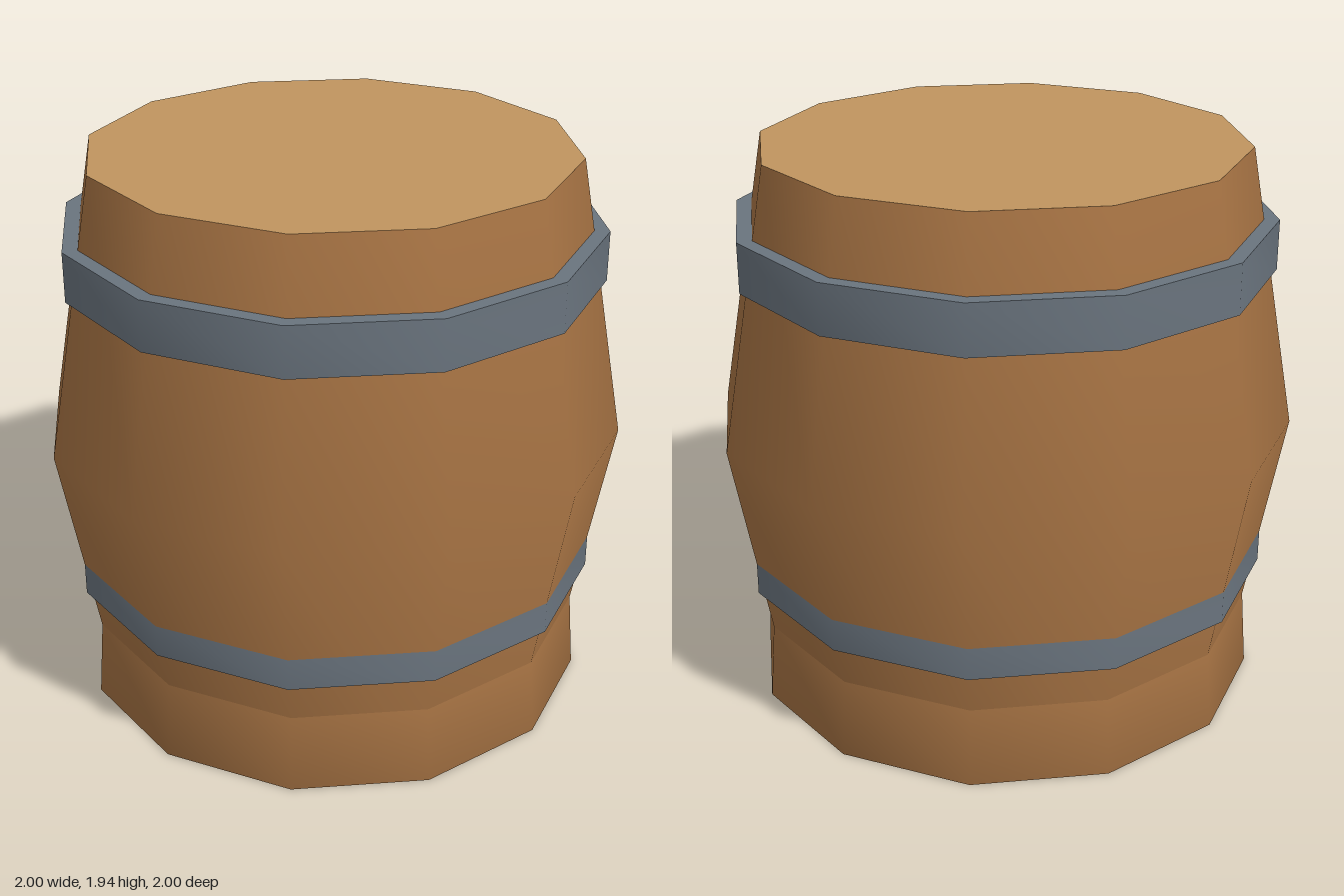
import * as THREE from 'three';
import { toCreasedNormals } from 'three/addons/utils/BufferGeometryUtils.js';

const SIDES = 12;
const HEIGHT = 1.936;
const END_RADIUS = 0.826;

export function createModel() {
  const group = new THREE.Group();
  group.name = 'barrel';

  const wood = new THREE.MeshStandardMaterial({ color: 0xa87444 });
  const lidWood = new THREE.MeshStandardMaterial({ color: 0xc0955f });
  const iron = new THREE.MeshStandardMaterial({ color: 0x6a747e });

  const add = (name, geometry, material) => {
    const mesh = new THREE.Mesh(geometry, material);
    mesh.name = name;
    group.add(mesh);
    return mesh;
  };

  // Twelve-sided turned part: smooth around, sharp at its rims
  const turned = (points) => toCreasedNormals(
    new THREE.LatheGeometry(points.map(([r, y]) => new THREE.Vector2(r, y)), SIDES),
    THREE.MathUtils.degToRad(40),
  );

  // Bulging wall of staves
  add('staves', turned([[END_RADIUS, 0], [1, HEIGHT / 2], [END_RADIUS, HEIGHT]]), wood);

  // Flared foot, with a flat rim underneath
  const foot = new THREE.LatheGeometry(
    [[END_RADIUS, 0], [0.897, 0], [0.875, 0.28]].map(([r, y]) => new THREE.Vector2(r, y)),
    SIDES,
  );
  add('foot', foot, wood);

  // End discs
  const lid = add('lid', new THREE.CircleGeometry(END_RADIUS, SIDES), lidWood);
  lid.rotation.x = -Math.PI / 2;
  lid.position.y = HEIGHT;
  const bottom = add('bottom', new THREE.CircleGeometry(END_RADIUS, SIDES), wood);
  bottom.rotation.x = Math.PI / 2;

  // Iron hoops, sunk into the staves on the inside
  const hoop = (name, y0, y1) => add(
    name,
    turned([[0.86, y0], [0.922, y0], [0.922, y1], [0.86, y1], [0.86, y0]]),
    iron,
  );
  hoop('upperHoop', 1.52, 1.692);
  hoop('lowerHoop', 0.42, 0.542);

  return group;
}
